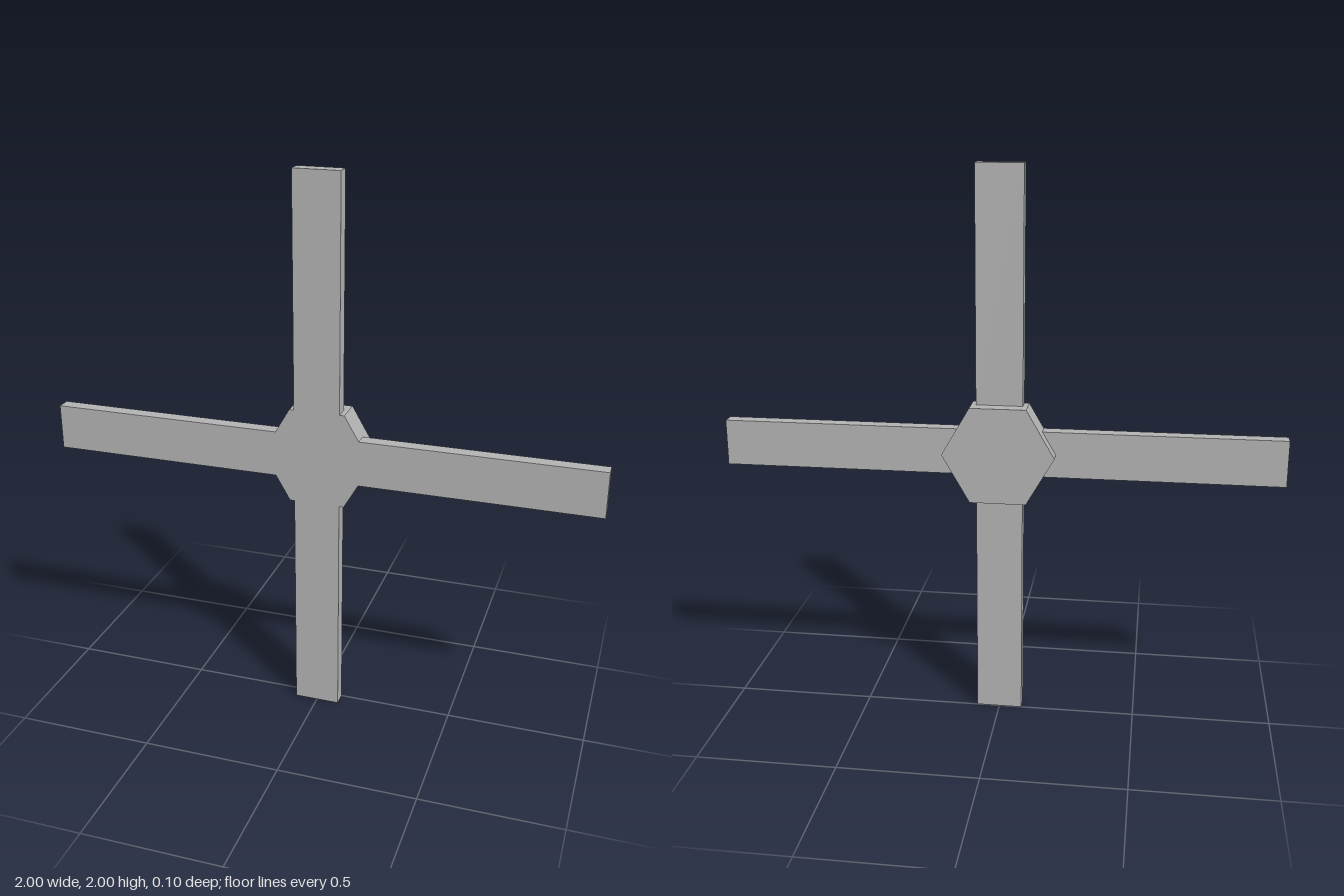
import * as THREE from 'three';

const R = 0.2;                       // hub corner radius
const FLAT = R * Math.sqrt(3) / 2;   // hub centre to flat side
const HALF = 0.083;                  // half width of a blade
const DEPTH = 0.05;                  // blade thickness, half the hub's

export function createModel() {
  const group = new THREE.Group();
  const grey = new THREE.MeshStandardMaterial({ color: 0xb2b2b2 });

  const addPlate = (name, points, z, depth, turn = 0) => {
    const shape = new THREE.Shape(points.map(([x, y]) => new THREE.Vector2(x, y)));
    const mesh = new THREE.Mesh(
      new THREE.ExtrudeGeometry(shape, { depth, bevelEnabled: false }), grey);
    mesh.name = name;
    mesh.position.set(0, 1, z);
    mesh.rotation.z = turn;
    group.add(mesh);
  };

  // Hexagonal hub with corners pointing sideways
  const hexagon = [];
  for (let i = 0; i < 6; i++) {
    const a = i * Math.PI / 3;
    hexagon.push([R * Math.cos(a), R * Math.sin(a)]);
  }
  addPlate('hub', hexagon, -DEPTH, 2 * DEPTH);

  // Side blades, notched to fit the hub's corners
  const inner = R - HALF / Math.sqrt(3);
  const side = [[R, 0], [inner, -HALF], [1, -HALF], [1, HALF], [inner, HALF]];
  addPlate('leftBlade', side, 0, DEPTH);
  addPlate('rightBlade', side, 0, DEPTH, Math.PI);

  // Upper and lower blades, square against the hub's flats
  const upright = [[FLAT, -HALF], [1, -HALF], [1, HALF], [FLAT, HALF]];
  addPlate('topBlade', upright, 0, DEPTH, Math.PI / 2);
  addPlate('bottomBlade', upright, 0, DEPTH, -Math.PI / 2);

  return group;
}
